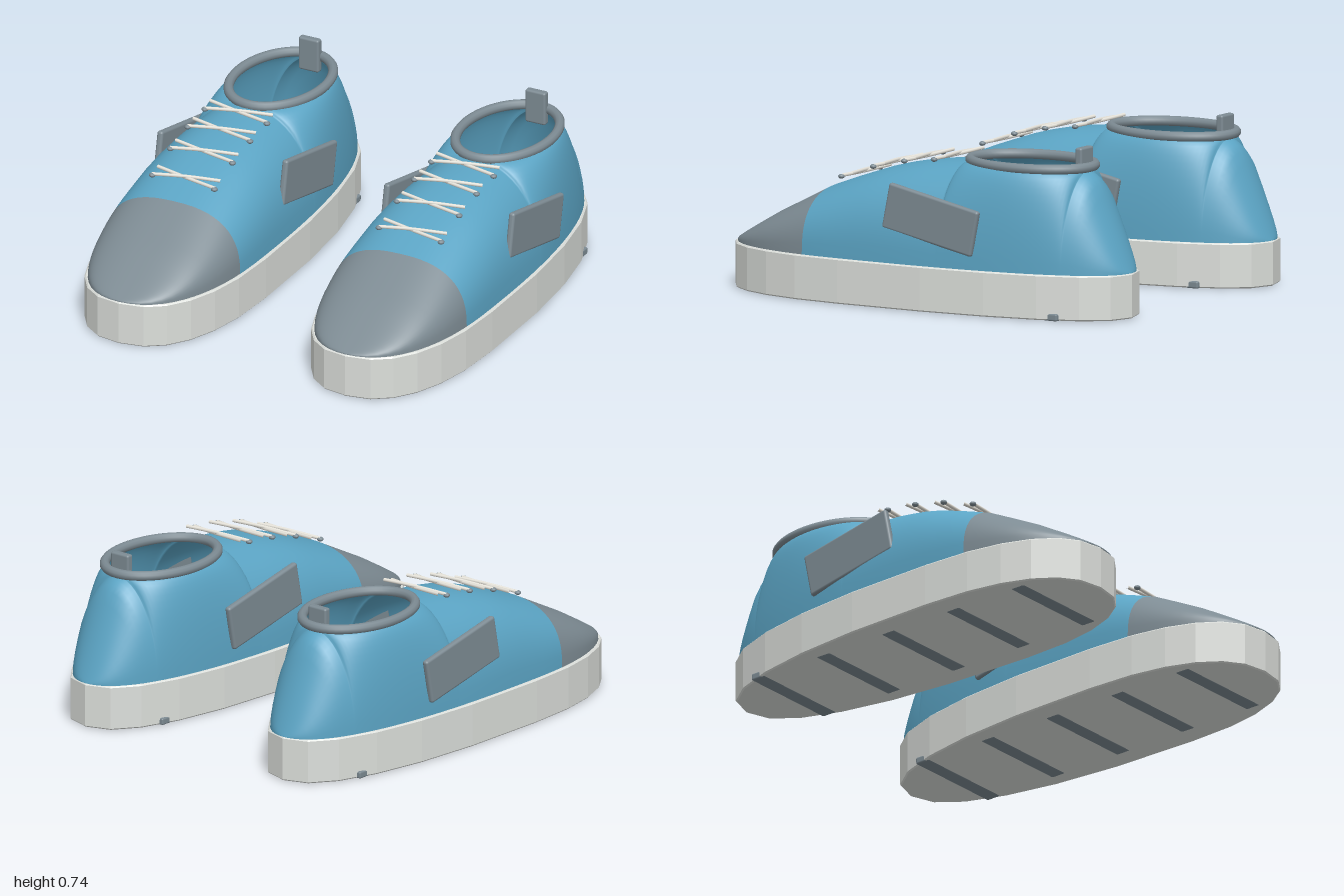
import * as THREE from 'three';
import { mergeVertices } from 'three/addons/utils/BufferGeometryUtils.js';
import { RoundedBoxGeometry } from 'three/addons/geometries/RoundedBoxGeometry.js';

const { lerp, clamp } = THREE.MathUtils;
const material = (name, color, side = THREE.FrontSide, flatShading = false) => {
  const m = new THREE.MeshStandardMaterial({ color, side, flatShading });
  m.name = name;
  return m;
};

const SOLE_TOP = 0.2;
const ROUND = 2.4; // superellipse exponent of the footprint
const HOLE = { z: -0.485, rx: 0.2, rz: 0.29 };

// Half width of the footprint at z
const halfWidth = (z) => {
  const t = z > 0.3 ? (z - 0.3) / 0.7 : (0.3 - z) / 1.3;
  return 0.35 * Math.pow(Math.max(0, 1 - Math.pow(t, ROUND)), 1 / ROUND);
};

// Height of the upper along its centre line
const PROFILE = [[-1, 0.2], [-0.84, 0.575], [-0.81, 0.612], [-0.775, 0.632], [-0.5, 0.64], [-0.2, 0.642],
  [0, 0.62], [0.1, 0.602], [0.2, 0.58], [0.35, 0.53], [0.5, 0.475], [0.75, 0.348], [1, 0.205]];
const topHeight = (z) => {
  let i = 1;
  while (i < PROFILE.length - 1 && z > PROFILE[i][0]) i++;
  const [z0, y0] = PROFILE[i - 1], [z1, y1] = PROFILE[i];
  return lerp(y0, y1, clamp((z - z0) / (z1 - z0), 0, 1));
};

// Half width of the foot opening at z
const openingWidth = (z) => {
  const t = (z - HOLE.z) / HOLE.rz;
  return Math.abs(t) < 1 ? HOLE.rx * Math.sqrt(1 - t * t) : 0;
};

// Stations between two z values, crowded towards both ends
const stations = (a, b, n) =>
  Array.from({ length: n + 1 }, (_, i) => lerp(a, b, 0.5 - 0.5 * Math.cos((Math.PI * i) / n)));

// Mirrored shell lofted from the sole edge up to the centre line or opening
function upperShell(zs) {
  const N = 14, pos = [], index = [];
  for (const side of [1, -1]) {
    const start = pos.length / 3;
    zs.forEach((z) => {
      const w = Math.max(0, halfWidth(z) - 0.014);
      const inner = Math.min(openingWidth(z), w);
      const h = topHeight(z) - SOLE_TOP;
      const p = lerp(1.02, 0.78, clamp((z + 0.6) / 0.8, 0, 1));
      for (let j = 0; j <= N; j++) {
        const a = (j / N) * Math.PI / 2;
        const c = j === N ? 0 : Math.pow(Math.cos(a), p);
        pos.push(side * (inner + (w - inner) * c), SOLE_TOP + h * Math.pow(Math.sin(a), p), z * 0.994);
      }
    });
    for (let i = 0; i < zs.length - 1; i++) {
      for (let j = 0; j < N; j++) {
        const a = start + i * (N + 1) + j, b = a + 1, c = a + N + 1, d = c + 1;
        if (side > 0) index.push(a, b, c, b, d, c);
        else index.push(a, c, b, b, c, d);
      }
    }
  }
  const g = new THREE.BufferGeometry();
  g.setAttribute('position', new THREE.Float32BufferAttribute(pos, 3));
  g.setIndex(index);
  const merged = mergeVertices(g, 1e-5);
  merged.computeVertexNormals();
  return merged;
}

// Footprint as a faceted shape
function footprint(scale = 1, n = 24) {
  const pts = [];
  const pw = (v) => Math.sign(v) * Math.pow(Math.abs(v), 2 / ROUND);
  for (let i = 0; i < n; i++) {
    const a = (i / n) * Math.PI * 2, s = pw(Math.sin(a));
    pts.push(new THREE.Vector2(0.35 * scale * pw(Math.cos(a)), -scale * (0.3 + (s > 0 ? 0.7 : 1.3) * s)));
  }
  return new THREE.Shape(pts);
}

function createShoe(mats) {
  const shoe = new THREE.Group();
  const add = (name, geometry, mat, x = 0, y = 0, z = 0) => {
    const mesh = new THREE.Mesh(geometry, mat);
    mesh.name = name;
    mesh.position.set(x, y, z);
    shoe.add(mesh);
    return mesh;
  };

  // Sole with a slight bevel
  const sole = new THREE.ExtrudeGeometry(footprint(), {
    depth: SOLE_TOP - 0.014, bevelEnabled: true, bevelSize: 0.006, bevelThickness: 0.006,
    bevelOffset: -0.006, bevelSegments: 1,
  });
  sole.rotateX(-Math.PI / 2);
  add('sole', sole, mats.sole, 0, 0.008, 0);

  // Tread bars, the rear one reaching past the sole edge
  for (let i = 0; i < 5; i++) {
    add('treadBar', new RoundedBoxGeometry(0.49, 0.032, 0.075, 1, 0.008), mats.trim, 0, 0.016, -0.73 + i * 0.365);
  }

  // Insole
  const insole = new THREE.ShapeGeometry(footprint(0.9));
  insole.rotateX(-Math.PI / 2);
  add('insole', insole, mats.insole, 0, SOLE_TOP + 0.006, 0);

  // Upper and toe cap
  const h0 = HOLE.z - HOLE.rz, h1 = HOLE.z + HOLE.rz;
  add('upper', upperShell([
    ...stations(-1, h0, 14), ...stations(h0, h1, 28).slice(1), ...stations(h1, 0.5, 14).slice(1),
  ]), mats.upper);
  add('toeCap', upperShell(stations(0.5, 1, 16)), mats.trim);

  // Collar around the opening
  const ring = Array.from({ length: 32 }, (_, i) => {
    const a = (i / 32) * Math.PI * 2;
    return new THREE.Vector3(0.203 * Math.cos(a), 0, 0.295 * Math.sin(a));
  });
  add('collar', new THREE.TubeGeometry(new THREE.CatmullRomCurve3(ring, true), 64, 0.022, 10, true),
    mats.trim, 0, 0.648, HOLE.z);

  // Heel pull tab
  add('pullTab', new RoundedBoxGeometry(0.1, 0.155, 0.035, 2, 0.01), mats.trim, 0, 0.658, -0.752);

  // Tilted side panels
  for (const s of [1, -1]) {
    const panel = add('sidePanel', new RoundedBoxGeometry(0.03, 0.205, 0.47, 2, 0.012), mats.trim,
      s * 0.308, 0.405, -0.16);
    panel.rotation.x = -0.2;
  }

  // Crossed laces with eyelets
  for (const [z, y] of [[-0.1, 0.654], [0.055, 0.634], [0.215, 0.597], [0.38, 0.54]]) {
    for (const s of [1, -1]) {
      const path = new THREE.CatmullRomCurve3([
        new THREE.Vector3(-s * 0.155, y - 0.008, z + 0.024),
        new THREE.Vector3(0, y + 0.003 * s, z - 0.003),
        new THREE.Vector3(s * 0.155, y + 0.006, z - 0.028),
      ]);
      add('lace', new THREE.TubeGeometry(path, 8, 0.008, 8), mats.lace);
      add('eyelet', new THREE.SphereGeometry(0.015, 10, 8), mats.trim, s * 0.153, y - 0.012, z + 0.026)
        .scale.y = 0.7;
    }
  }
  return shoe;
}

export function createModel() {
  const mats = {
    sole: material('soleWhite', 0xdcdfdb, THREE.FrontSide, true),
    upper: material('upperBlue', 0x5ba4c4, THREE.DoubleSide),
    trim: material('trimGrey', 0x7d8b93, THREE.DoubleSide),
    insole: material('insoleBrown', 0x5c4644, THREE.DoubleSide),
    lace: material('laceCream', 0xe6e3da),
  };
  const model = new THREE.Group();
  model.name = 'pairOfShoes';
  for (const s of [1, -1]) {
    const shoe = createShoe(mats);
    shoe.name = s > 0 ? 'leftShoe' : 'rightShoe';
    shoe.position.x = s * 0.558;
    model.add(shoe);
  }
  return model;
}
